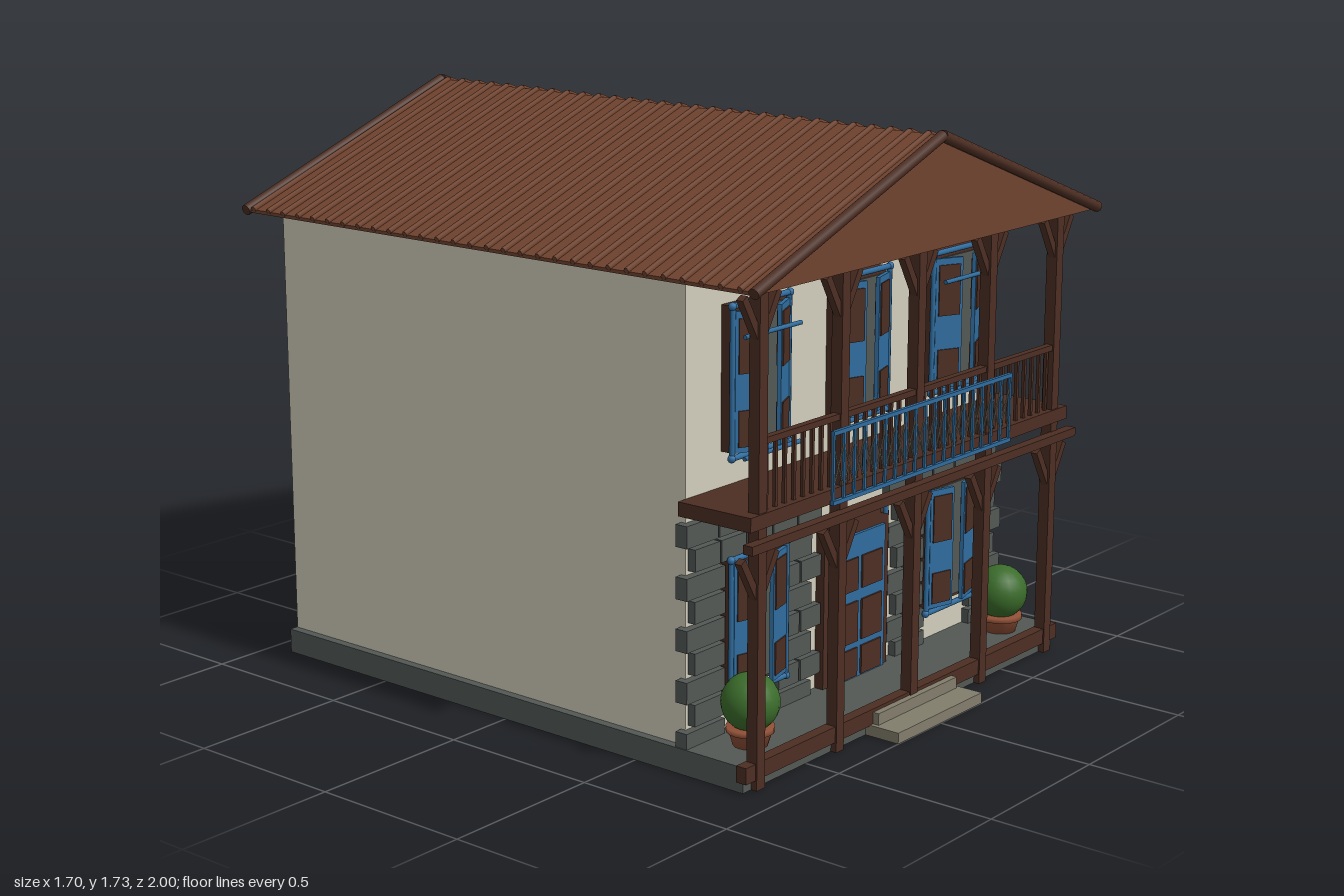
import * as THREE from 'three';

const mat = (name, color, extra = {}) => Object.assign(new THREE.MeshStandardMaterial({ color, ...extra }), { name });
const M = {
  wall: mat('plaster', 0xd3cebc),
  roof: mat('roofBrown', 0x70432f),
  wood: mat('darkWood', 0x4c2e23),
  blue: mat('bluePaint', 0x2f6c9e),
  stone: mat('greyStone', 0x525855),
  step: mat('stepStone', 0x827d6c),
  leaf: mat('foliage', 0x3b6c2b),
  pot: mat('terracotta', 0x8f4f36),
};

function add(parent, name, geo, m, x = 0, y = 0, z = 0) {
  const mesh = new THREE.Mesh(geo, m);
  mesh.name = name;
  mesh.position.set(x, y, z);
  parent.add(mesh);
  return mesh;
}

// Box given by its limits
function box(parent, name, m, x0, x1, y0, y1, z0, z1) {
  return add(parent, name, new THREE.BoxGeometry(x1 - x0, y1 - y0, z1 - z0), m,
    (x0 + x1) / 2, (y0 + y1) / 2, (z0 + z1) / 2);
}

// Bar between two points: round when sides > 4, square when sides = 4
function bar(parent, name, m, a, b, r, sides = 8) {
  const p = new THREE.Vector3(...a), q = new THREE.Vector3(...b), d = q.clone().sub(p);
  const geo = new THREE.CylinderGeometry(r, r, d.length(), sides);
  if (sides === 4) geo.rotateY(Math.PI / 4);
  const mesh = add(parent, name, sides === 4 ? geo.toNonIndexed() : geo, m);
  if (sides === 4) mesh.geometry.computeVertexNormals();
  mesh.position.copy(p).add(q).multiplyScalar(0.5);
  mesh.quaternion.setFromUnitVectors(new THREE.Vector3(0, 1, 0), d.normalize());
  return mesh;
}

function group(parent, name) {
  const g = new THREE.Group();
  g.name = name;
  parent.add(g);
  return g;
}

function buildRoof(root) {
  const g = group(root, 'roof');
  const tri = new THREE.Shape([[-0.84, 1.4], [0.84, 1.4], [0.84, 1.41], [0, 1.72], [-0.84, 1.41]]
    .map(p => new THREE.Vector2(...p)));
  const geo = new THREE.ExtrudeGeometry(tri, { depth: 1.935, bevelEnabled: false });
  add(g, 'roofBody', geo, M.roof, 0, 0, -0.98);
  for (const s of [-1, 1]) {
    // Ribs running down each slope
    for (let i = 0; i < 30; i++) {
      const z = -0.95 + i * 0.0642;
      bar(g, 'roofRib', M.roof, [0, 1.722, z], [s * 0.845, 1.412, z], 0.009, 6);
    }
    // Round trim along the gable edges
    for (const z of [0.958, -0.983])
      bar(g, 'gableTrim', M.wood, [0, 1.719, z], [s * 0.846, 1.406, z], 0.017, 10);
  }
}

function buildPorch(root) {
  const g = group(root, 'porch');
  for (let i = -2; i <= 2; i++) {
    const x = i * 0.365;
    box(g, 'post', M.wood, x - 0.018, x + 0.018, 0, 1.41, 0.868, 0.904);
    for (const s of [-1, 1]) for (const top of [1.38, 0.665])
      bar(g, 'brace', M.wood, [x + s * 0.074, top, 0.886], [x + s * 0.008, top - 0.115, 0.886], 0.016, 4);
  }
  box(g, 'floorBeam', M.wood, -0.79, 0.79, 0.03, 0.078, 0.865, 0.9);
  box(g, 'lowerBeam', M.wood, -0.81, 0.81, 0.69, 0.716, 0.9, 0.932);
  box(g, 'balconyDeck', M.wood, -0.79, 0.79, 0.745, 0.786, 0.66, 0.91);
  box(g, 'handrail', M.wood, -0.745, 0.745, 0.972, 0.99, 0.877, 0.9);
  for (let i = -17; i <= 17; i++)
    box(g, 'baluster', M.wood, i * 0.041 - 0.005, i * 0.041 + 0.005, 0.78, 0.98, 0.882, 0.892);

  // Blue iron railing with crossed wires
  const r = group(g, 'blueRailing'), z = 0.922;
  for (const y of [0.752, 0.95]) box(r, 'railingBar', M.blue, -0.445, 0.445, y - 0.006, y + 0.006, z - 0.006, z + 0.006);
  for (let i = 0; i <= 18; i++) {
    const x = -0.441 + i * 0.049;
    box(r, 'railingUpright', M.blue, x - 0.004, x + 0.004, 0.752, 0.95, z - 0.004, z + 0.004);
    if (i === 18) continue;
    bar(r, 'crossWire', M.step, [x, 0.785, z], [x + 0.049, 0.915, z], 0.0025, 5);
    bar(r, 'crossWire', M.step, [x, 0.915, z], [x + 0.049, 0.785, z], 0.0025, 5);
  }
  // Entrance steps
  box(g, 'lowerStep', M.step, -0.215, 0.215, 0, 0.033, 0.88, 1.0);
  box(g, 'upperStep', M.step, -0.2, 0.2, 0.033, 0.068, 0.88, 0.92);
}

// Window with blue frame and two half-open panelled shutters
function buildWindow(root, name, x, y0, y1, angle, outerBars) {
  const g = group(root, name);
  g.position.set(x, 0, 0);
  box(g, 'casing', M.wood, -0.125, 0.125, y0 + 0.02, y1, 0.65, 0.69);
  box(g, 'pane', M.stone, -0.108, 0.108, y0 + 0.03, y1 - 0.02, 0.69, 0.695);
  const zf = 0.7;
  for (const y of [y0 + 0.006, y1]) {
    bar(g, 'frameBar', M.blue, [-0.132, y, zf], [0.132, y, zf], 0.009);
    for (const s of [-1, 1]) add(g, 'frameKnob', new THREE.SphereGeometry(0.012, 10, 8), M.blue, s * 0.128, y, zf);
  }
  for (const s of [-1, 1]) {
    bar(g, 'frameSide', M.blue, [s * 0.126, y0, zf], [s * 0.126, y1, zf], 0.008);
    const sh = group(g, 'shutter'), h = y1 - y0 - 0.035, w = 0.094;
    sh.position.set(s * 0.118, y0 + 0.02, zf);
    sh.rotation.y = s * angle;
    add(sh, 'shutterBoard', new THREE.BoxGeometry(w, h, 0.012), M.blue, -s * w / 2, h / 2, 0);
    for (const [a, b] of [[0.04, 0.3], [0.56, 0.95]])
      add(sh, 'shutterPanel', new THREE.BoxGeometry(w - 0.02, (b - a) * h, 0.02), M.wood, -s * w / 2, (a + b) / 2 * h, 0);
  }
  if (outerBars) for (const y of [y0 + 0.012, y1 - 0.08])
    bar(g, 'outerBar', M.blue, [-0.125, y, 0.742], [0.125, y, 0.742], 0.007);
}

function buildDoor(root) {
  const g = group(root, 'door');
  box(g, 'doorCasing', M.wood, -0.16, 0.16, 0.075, 0.552, 0.65, 0.69);
  box(g, 'doorLeaf', M.blue, -0.13, 0.13, 0.076, 0.52, 0.69, 0.7);
  for (const s of [-1, 1]) for (const [a, b] of [[0.082, 0.17], [0.19, 0.315], [0.35, 0.45]])
    box(g, 'doorPanel', M.wood, s * 0.06 - 0.05, s * 0.06 + 0.05, a, b, 0.7, 0.706);
  box(g, 'lintelBoard', M.wood, -0.12, 0.12, 0.552, 0.58, 0.65, 0.69);
  bar(g, 'lintelBar', M.blue, [-0.137, 0.583, 0.7], [0.137, 0.583, 0.7], 0.009);
  for (const s of [-1, 1])
    bar(g, 'lintelSide', M.blue, [s * 0.13, 0.552, 0.7], [s * 0.13, 0.585, 0.7], 0.008);
}

// Staggered stone blocks around the ground floor windows
function buildStones(root) {
  const g = group(root, 'stonework'), pitch = 0.0747;
  for (let row = 0; row < 9; row++) {
    const top = 0.718 - row * pitch, bottom = Math.max(top - 0.064, 0.06), odd = row % 2;
    const inner = odd ? 0.165 : 0.21, outer = odd ? 0.75 : 0.786;
    const spans = row < 2 ? [[inner, outer]] : [[inner, 0.37], [0.61, outer]];
    for (const s of [-1, 1]) for (const [a, b] of spans) {
      const n = Math.max(1, Math.round((b - a) / 0.13)), w = (b - a) / n;
      for (let i = 0; i < n; i++) {
        const p = s * (a + i * w + 0.004), q = s * (a + (i + 1) * w - 0.004);
        box(g, 'stoneBlock', M.stone, Math.min(p, q), Math.max(p, q), bottom, top, 0.645, 0.685);
      }
    }
  }
}

function buildPlant(root, x) {
  const g = group(root, 'pottedBush');
  g.position.set(x, 0.075, 0.79);
  const profile = [[0, 0], [0.05, 0], [0.062, 0.04], [0.069, 0.04], [0.069, 0.055], [0, 0.055]]
    .map(p => new THREE.Vector2(...p));
  add(g, 'pot', new THREE.LatheGeometry(profile, 20), M.pot);
  add(g, 'bush', new THREE.SphereGeometry(0.084, 20, 14), M.leaf, 0, 0.125, 0);
}

export function createModel() {
  const root = new THREE.Group();
  root.name = 'house';
  box(root, 'foundation', M.stone, -0.785, 0.785, 0, 0.075, -0.92, 0.885);
  box(root, 'walls', M.wall, -0.758, 0.758, 0.07, 1.402, -0.917, 0.66);
  buildRoof(root);
  buildStones(root);
  buildPorch(root);
  buildDoor(root);
  for (const s of [-1, 1]) {
    buildWindow(root, 'upperWindow', s * 0.48, 0.868, 1.3, 0.42, true);
    buildWindow(root, 'lowerWindow', s * 0.48, 0.172, 0.583, 0.25, false);
    buildPlant(root, s * 0.632);
  }
  buildWindow(root, 'middleWindow', 0, 0.868, 1.3, 0.3, false);
  return root;
}
